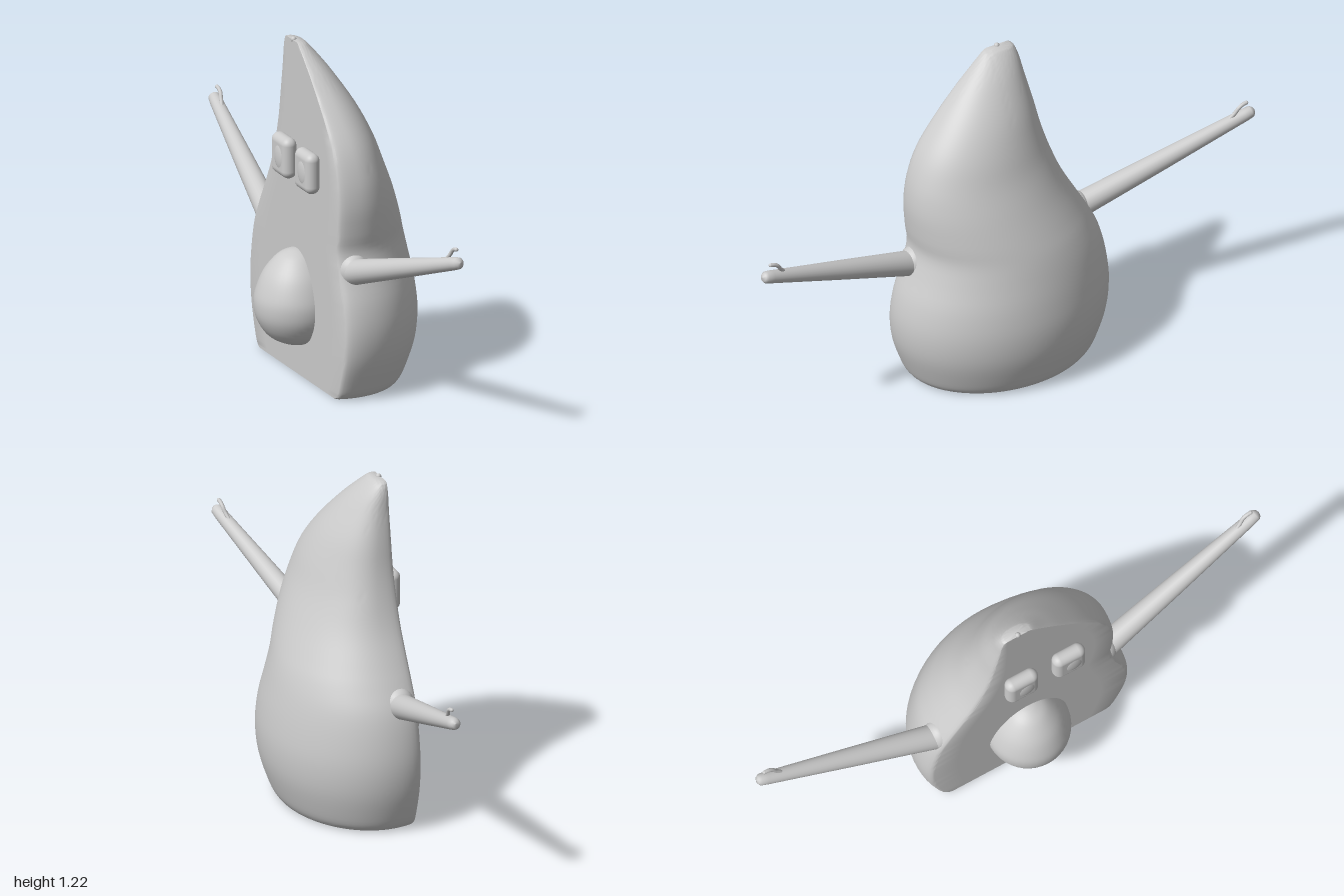
import * as THREE from 'three';
import { mergeVertices, toCreasedNormals } from 'three/addons/utils/BufferGeometryUtils.js';
import { RoundedBoxGeometry } from 'three/addons/geometries/RoundedBoxGeometry.js';

const FACE_X = -0.13; // plane of the flat cut face, which looks toward -x

// Height, +z edge, -z edge, depth of the rounded back
const SECTIONS = [
  [0.0, 0.325, -0.325, 0.2], [0.012, 0.345, -0.345, 0.215], [0.05, 0.365, -0.365, 0.235],
  [0.15, 0.4, -0.395, 0.266], [0.25, 0.41, -0.405, 0.276], [0.35, 0.395, -0.395, 0.268],
  [0.45, 0.36, -0.37, 0.25], [0.53, 0.338, -0.33, 0.231], [0.6, 0.345, -0.29, 0.208],
  [0.7, 0.35, -0.235, 0.17], [0.8, 0.335, -0.195, 0.13], [0.9, 0.295, -0.165, 0.095],
  [1.0, 0.22, -0.145, 0.05], [1.1, 0.125, -0.125, -0.01], [1.16, 0.06, -0.115, -0.052],
  [1.197, 0.018, -0.103, -0.083], [1.206, 0.0, -0.09, -0.095],
];

// One closed D-shaped cross-section: elliptical back, rounded rim, straight face
function ring(y, zL, zR, xMax) {
  const pts = [], c = (zL + zR) / 2, w = (zL - zR) / 2;
  const depth = xMax - FACE_X, rim = Math.min(0.08, depth * 0.3);
  const add = (x, z) => pts.push([x, y, c + z]);
  for (let i = 0; i <= 36; i++) {
    const t = -Math.PI / 2 + (Math.PI * i) / 36;
    add(FACE_X + rim + (depth - rim) * Math.cos(t), w * Math.sin(t));
  }
  const corner = [1, 2, 3, 4, 5, 6].map((i) => {
    const a = (i / 6) * Math.PI / 2;
    return [FACE_X + rim * (1 - Math.sin(a)), w * (0.93 + 0.07 * Math.cos(a))];
  });
  corner.forEach(([x, z]) => add(x, z));
  for (let i = 1; i < 8; i++) add(FACE_X, 0.93 * w * (1 - i / 4));
  corner.reverse().forEach(([x, z]) => add(x, -z));
  return pts;
}

function bodyGeometry() {
  const v2 = (a, b) => SECTIONS.map((s) => new THREE.Vector2(s[a], s[b]));
  const curveA = new THREE.SplineCurve(v2(0, 1)), curveB = new THREE.SplineCurve(v2(2, 3));
  const rows = (SECTIONS.length - 1) * 4, pos = [], idx = [];
  let n = 0;
  for (let r = 0; r <= rows; r++) {
    const a = curveA.getPoint(r / rows), b = curveB.getPoint(r / rows);
    const pts = ring(Math.max(0, a.x), a.y, b.x, b.y);
    n = pts.length;
    pts.forEach((p) => pos.push(...p));
  }
  for (let r = 0; r < rows; r++) {
    for (let i = 0; i < n; i++) {
      const j = (i + 1) % n, a = r * n + i, b = r * n + j;
      idx.push(a, a + n, b, b, a + n, b + n);
    }
  }
  // Caps
  const bottom = pos.length / 3, top = bottom + 1, last = rows * n;
  pos.push(0, 0, 0, -0.115, 1.207, -0.045);
  for (let i = 0; i < n; i++) {
    const j = (i + 1) % n;
    idx.push(bottom, i, j, top, last + j, last + i);
  }
  const geo = new THREE.BufferGeometry();
  geo.setAttribute('position', new THREE.Float32BufferAttribute(pos, 3));
  geo.setIndex(idx);
  return toCreasedNormals(geo, 0.6);
}

export function createModel() {
  const model = new THREE.Group();
  model.name = 'fruitHalfCharacter';
  const mat = new THREE.MeshStandardMaterial({ color: 0xcccccc });
  const add = (parent, name, geo, x = 0, y = 0, z = 0) => {
    const m = new THREE.Mesh(geo, mat);
    m.name = name;
    m.position.set(x, y, z);
    parent.add(m);
    return m;
  };

  add(model, 'body', bodyGeometry());
  add(model, 'stemNub', new THREE.SphereGeometry(0.01, 12, 8), -0.124, 1.206, -0.042);

  // Egg-shaped stone set in the face
  const outline = new THREE.SplineCurve([
    [0, 0.111], [0.05, 0.118], [0.105, 0.15], [0.14, 0.205], [0.15, 0.26],
    [0.142, 0.31], [0.115, 0.375], [0.07, 0.43], [0.03, 0.452], [0, 0.457],
  ].map(([r, y]) => new THREE.Vector2(r, y))).getPoints(36);
  outline.forEach((p) => { p.x = Math.max(0, p.x); });
  add(model, 'stone', new THREE.LatheGeometry(outline, 40), FACE_X, 0, -0.005);

  // Eyes: soft pads with shallow domed pupils
  for (const z of [-0.047, 0.14]) {
    const eye = new THREE.Group();
    eye.name = z > 0 ? 'eyeFront' : 'eyeBack';
    eye.position.set(-0.158, 0.787, z);
    add(eye, 'eyePad', new RoundedBoxGeometry(0.054, 0.147, 0.125, 6, 0.0265));
    add(eye, 'pupil', new THREE.SphereGeometry(1, 24, 16), -0.019, 0, 0.008).scale.set(0.013, 0.05, 0.038);
    model.add(eye);
  }

  // Arms mirrored in z, each with a shoulder, rounded hand and curled thumb
  for (const s of [1, -1]) {
    const arm = new THREE.Group();
    arm.name = s > 0 ? 'armFront' : 'armBack';
    const from = new THREE.Vector3(-0.078, 0.452, s * 0.3);
    const to = new THREE.Vector3(0.019, 0.682, s * 0.982);
    const dir = to.clone().sub(from), len = dir.length();
    const limb = [
      [0.047, 0], [0.043, len * 0.15], [0.035, len * 0.5], [0.026, len * 0.85], [0.023, len * 0.97],
      [0.021, len + 0.004], [0.014, len + 0.013], [0, len + 0.018],
    ].map(([r, y]) => new THREE.Vector2(r, y));
    const mesh = add(arm, 'limb', new THREE.LatheGeometry(limb, 24), from.x, from.y, from.z);
    mesh.quaternion.setFromUnitVectors(new THREE.Vector3(0, 1, 0), dir.normalize());
    add(arm, 'shoulder', new THREE.SphereGeometry(1, 24, 16), -0.07, 0.468, s * 0.325)
      .scale.set(0.056, 0.06, 0.05);

    const path = new THREE.CatmullRomCurve3([
      [0.01, 0.675, 0.905], [0.016, 0.695, 0.923], [0.02, 0.714, 0.936], [0.021, 0.724, 0.952], [0.021, 0.727, 0.966],
    ].map(([x, y, z]) => new THREE.Vector3(x, y, s * z)));
    add(arm, 'thumb', new THREE.TubeGeometry(path, 16, 0.007, 10));
    add(arm, 'thumbTip', new THREE.SphereGeometry(0.007, 10, 8), 0.021, 0.727, s * 0.966);
    model.add(arm);
  }
  return model;
}
